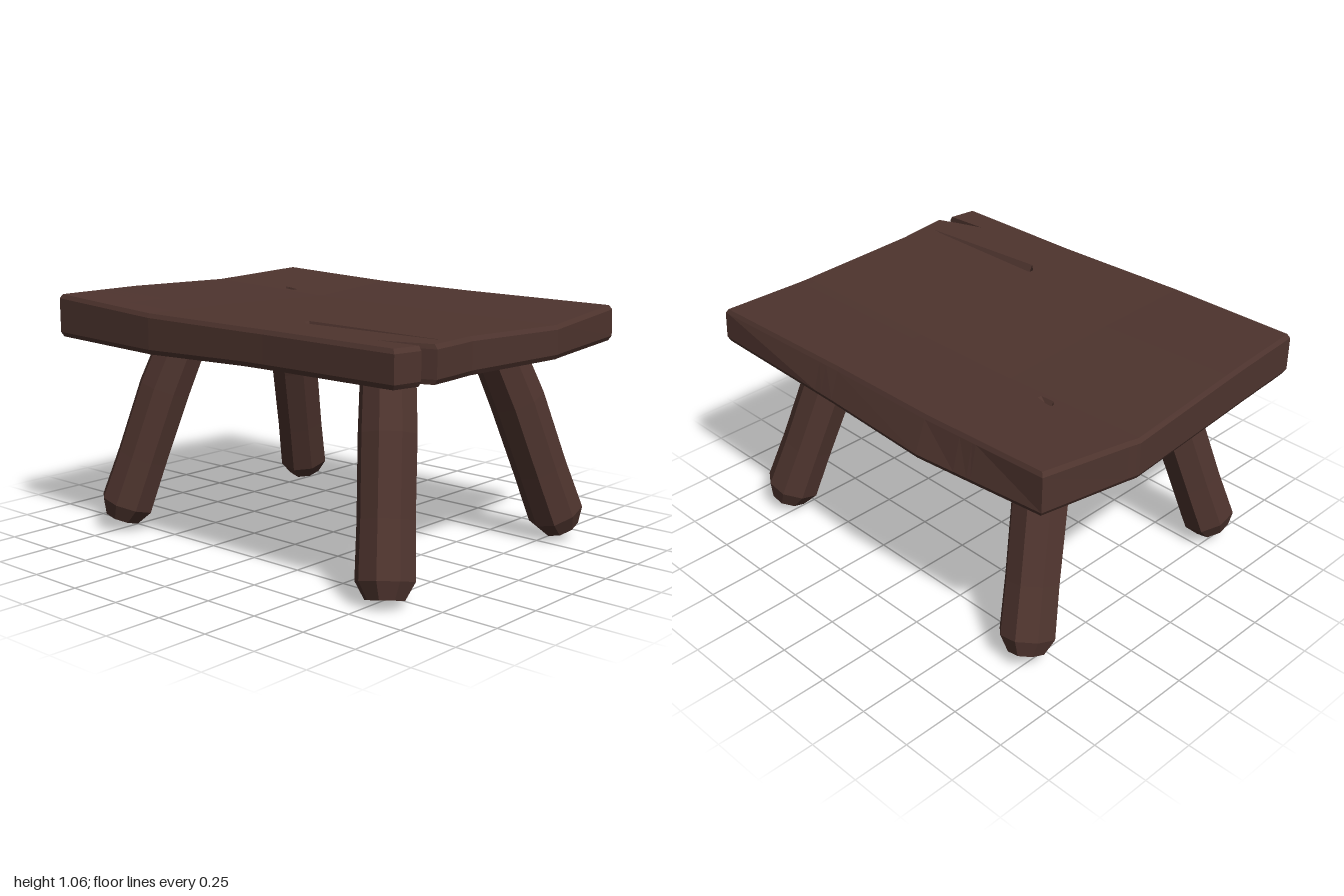
import * as THREE from 'three';

// Piecewise linear lookup through [position, value] pairs
function lerpTable(table, t) {
  if (t <= table[0][0]) return table[0][1];
  for (let i = 1; i < table.length; i++) {
    const [a, va] = table[i - 1], [b, vb] = table[i];
    if (t <= b) return va + (vb - va) * (t - a) / (b - a);
  }
  return table[table.length - 1][1];
}

// Flat-shaded geometry from a list of quads
function quadGeometry(quads) {
  const pos = [];
  for (const [a, b, c, d] of quads) for (const p of [a, b, c, a, c, d]) pos.push(...p);
  const geo = new THREE.BufferGeometry();
  geo.setAttribute('position', new THREE.Float32BufferAttribute(pos, 3));
  geo.computeVertexNormals();
  return geo;
}

// Warped plank: a lattice of rows (z) and columns (x), with grooves pressed into the top
function slabGeometry() {
  const cols = [-1, -0.595, -0.575, -0.51, -0.32, 0.2, 0.27, 0.31, 0.92, 1];
  // [z, left end x, right end x, z at right end]
  const rows = [
    [-0.74, -0.93, 0.935, -0.745], [-0.325, -0.99, 0.968], [-0.31, -0.993, 0.97], [-0.29, -0.997, 0.972],
    [-0.27, -1, 0.975], [0.3, -0.967, 0.967], [0.445, -0.957, 0.985], [0.47, -0.956, 0.987],
    [0.505, -0.954, 0.99], [0.55, -0.951, 0.995], [0.587, -0.949, 0.9], [0.63, -0.947, 0.78],
    [0.65, -0.946, 0.975, 0.617], [0.74, -0.94, 0.955, 0.74],
  ];
  const lastRow = rows.length - 1, lastCol = cols.length - 1;
  const backTop = [[-0.93, -0.722], [-0.32, -0.728], [0.2, -0.727], [0.93, -0.745]];
  const backLow = [[-0.93, -0.725], [-0.32, -0.78], [0.93, -0.75]];
  const front = [[-0.94, 0.745], [-0.32, 0.775], [0.31, 0.75], [0.95, 0.745]];
  const topZ = [[-0.74, 1.03], [-0.27, 1.0], [0.3, 1.02], [0.74, 1.025]];
  const topX = [[-0.95, 0.04], [-0.32, 0.015], [0.2, 0.01], [1, 0.005]];
  const lowZ = [[-0.74, 0.88], [-0.27, 0.862], [0.3, 0.873], [0.74, 0.878]];
  const lowX = [[-0.95, 0], [-0.32, -0.008], [0.2, 0.003], [1, 0.003]];

  const point = (i, j, isTop, inset, drop) => {
    const [rz, left, right, rightZ] = rows[i];
    let x = j === 0 ? left : j === lastCol ? right : Math.min(cols[j], right - 0.02 - 0.002 * (lastCol - j));
    let z = j === lastCol && rightZ !== undefined ? rightZ : rz;
    if (i === 0) z = lerpTable(isTop ? backTop : backLow, x);
    if (i === lastRow) z = lerpTable(front, x);
    // the long crack narrows towards the right end
    if (j === 8 && (i === 7 || i === 8)) z = i === 7 ? 0.45 : 0.456;
    let y = isTop ? lerpTable(topZ, z) + lerpTable(topX, x) : lerpTable(lowZ, z) + lerpTable(lowX, x);
    if (isTop && i === 7 && j === 7) y -= 0.07;
    if (isTop && i === 2 && j === 2) y -= 0.04;
    if (i === 0 || i === lastRow) z *= 1 - inset;
    if (j === 0 || j === lastCol) x *= 1 - inset;
    return [x, y + drop, z];
  };
  const layers = [[true, 0.012, 0], [true, 0, -0.018], [false, 0, 0.02], [false, 0.012, 0]];
  const quads = [];
  for (let i = 0; i < lastRow; i++) for (let j = 0; j < lastCol; j++) {
    const cell = [[i, j], [i + 1, j], [i + 1, j + 1], [i, j + 1]];
    quads.push(cell.map(c => point(...c, ...layers[0])));
    quads.push(cell.map(c => point(...c, ...layers[3])).reverse());
  }
  // rim with chamfered top and bottom edges
  const rim = [];
  for (let i = 0; i < lastRow; i++) rim.push([i, 0]);
  for (let j = 0; j < lastCol; j++) rim.push([lastRow, j]);
  for (let i = lastRow; i > 0; i--) rim.push([i, lastCol]);
  for (let j = lastCol; j > 0; j--) rim.push([0, j]);
  rim.forEach((a, k) => {
    const b = rim[(k + 1) % rim.length];
    for (let l = 0; l < 3; l++) quads.push([
      point(...a, ...layers[l]), point(...a, ...layers[l + 1]),
      point(...b, ...layers[l + 1]), point(...b, ...layers[l]),
    ]);
  });
  return quadGeometry(quads);
}

// Rough-hewn octagonal leg with a slight bend and a chamfered foot
function legGeometry(top, foot, bend, turn) {
  const a = new THREE.Vector3(...top), b = new THREE.Vector3(...foot);
  const axis = b.clone().sub(a).normalize();
  const u = new THREE.Vector3(1, 0, 0).addScaledVector(axis, -axis.x).normalize();
  const v = axis.clone().cross(u);
  const outward = new THREE.Vector3(Math.sign(foot[0]), 0, Math.sign(foot[2]));
  // [fraction along the leg, radius, bend]
  const sections = [[0, 0.001, 0], [0, 0.108, 0], [0.33, 0.116, 1], [0.68, 0.114, 0.3],
    [0.925, 0.118, 0], [1, 0.078, 0], [1, 0.001, 0]];
  const sides = 8;
  const rings = sections.map(([t, r, k]) => Array.from({ length: sides }, (_, s) => {
    const ang = (s + turn) / sides * Math.PI * 2;
    const rr = r * (s % 2 ? 1.03 : 0.98);
    return a.clone().lerp(b, t).addScaledVector(outward, k * bend)
      .addScaledVector(u, Math.cos(ang) * rr).addScaledVector(v, Math.sin(ang) * rr).toArray();
  }));
  const quads = [];
  for (let i = 0; i < rings.length - 1; i++) for (let s = 0; s < sides; s++) {
    const n = (s + 1) % sides;
    quads.push([rings[i][s], rings[i][n], rings[i + 1][n], rings[i + 1][s]]);
  }
  return quadGeometry(quads);
}

export function createModel() {
  const group = new THREE.Group();
  const wood = new THREE.MeshStandardMaterial({ color: 0x4e342e });
  wood.name = 'darkWood';
  const add = (name, geo) => {
    const mesh = new THREE.Mesh(geo, wood);
    mesh.name = name;
    group.add(mesh);
  };

  add('seatSlab', slabGeometry());

  // four splayed legs: name, top centre, foot centre, bend, turn
  const legs = [
    ['frontLeftLeg', [0.6, 0.93, 0.35], [0.8, 0.03, 0.6], 0.012, 0.5],
    ['backLeftLeg', [0.62, 0.93, -0.3], [0.8, 0.05, -0.61], 0.008, 0.3],
    ['frontRightLeg', [-0.54, 0.93, 0.35], [-0.74, 0.06, 0.6], 0.008, 0.4],
    ['backRightLeg', [-0.55, 0.93, -0.3], [-0.74, 0.06, -0.6], 0.01, 0.6],
  ];
  for (const [name, top, foot, bend, turn] of legs) add(name, legGeometry(top, foot, bend, turn));
  return group;
}
